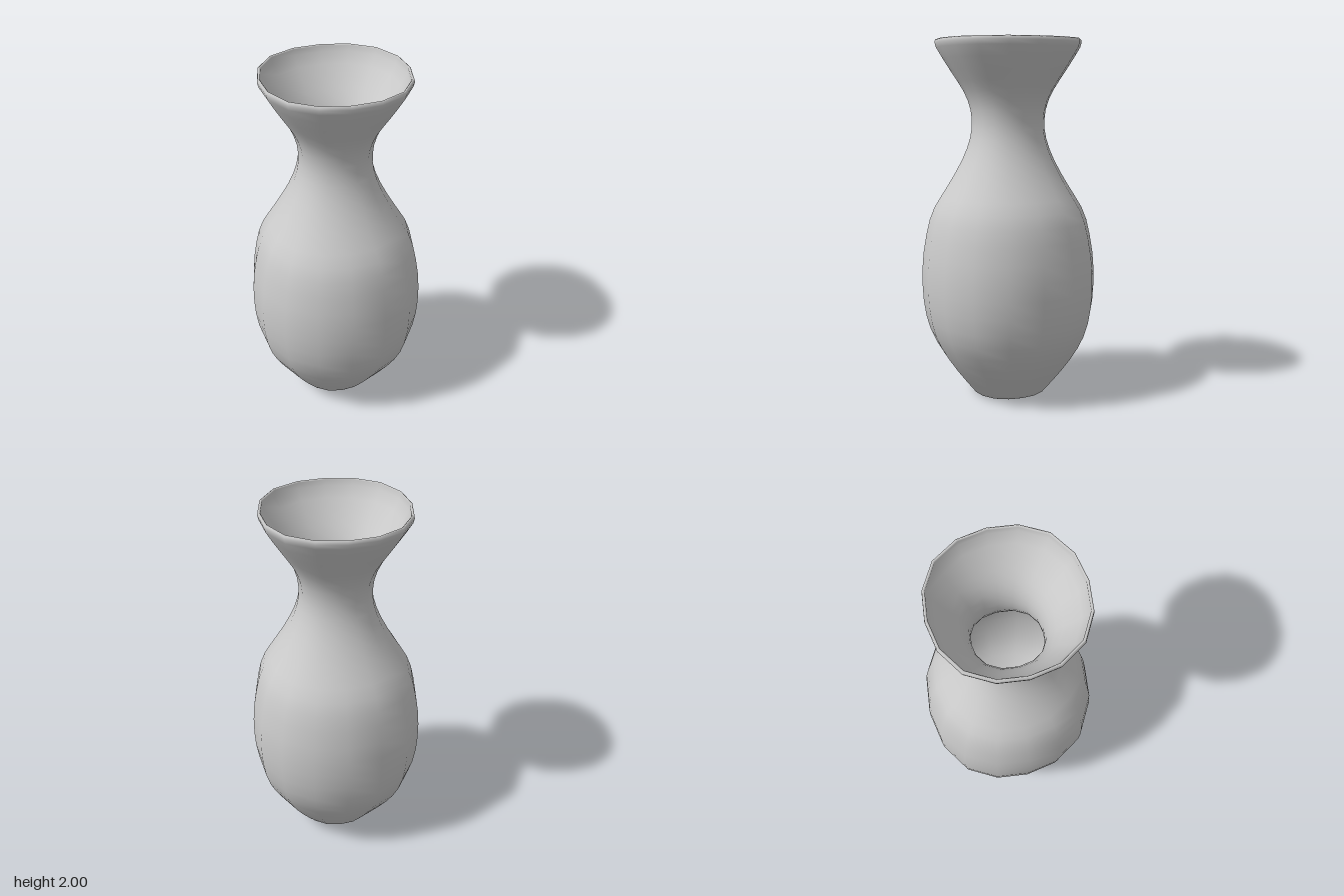
import * as THREE from 'three';
import { mergeVertices } from 'three/addons/utils/BufferGeometryUtils.js';

const SIDES = 16;
const WALL = 0.011;

// Outer wall from foot to lip: radius, height
const WALL_POINTS = [
  [0.215, 0.03], [0.28, 0.11], [0.35, 0.205], [0.41, 0.305], [0.45, 0.405],
  [0.473, 0.53], [0.479, 0.66], [0.473, 0.79], [0.45, 0.93], [0.42, 1.04],
  [0.37, 1.13], [0.315, 1.22], [0.26, 1.32], [0.222, 1.41], [0.202, 1.49],
  [0.199, 1.56], [0.21, 1.635], [0.24, 1.71], [0.285, 1.785], [0.34, 1.87], [0.39, 1.955],
].map(([r, y]) => new THREE.Vector2(r, y));

export function createModel() {
  const group = new THREE.Group();
  group.name = 'vase';

  const wall = new THREE.SplineCurve(WALL_POINTS).getPoints(28);

  // Inside of the wall: each point moved in along its normal
  const inner = wall.map((p, i) => {
    const a = wall[Math.max(i - 1, 0)];
    const b = wall[Math.min(i + 1, wall.length - 1)];
    const t = b.clone().sub(a).normalize();
    return new THREE.Vector2(p.x - t.y * WALL, p.y + t.x * WALL);
  }).reverse();

  const v = (r, y) => new THREE.Vector2(r, y);
  const profile = [
    v(0, 0.005), v(0.1, 0.003), v(0.17, 0), v(0.2, 0.011), // foot
    ...wall,
    v(0.397, 1.98), v(0.395, 1.995), v(0.388, 2), v(0.381, 1.993), // lip
    ...inner,
    v(0.18, 0.02), v(0.1, 0.016), v(0, 0.016), // inside floor
  ];

  let body = new THREE.LatheGeometry(profile, SIDES);
  body.deleteAttribute('uv');
  body.deleteAttribute('normal');

  // Rings are slightly squarish: fuller on the diagonals
  const pos = body.attributes.position;
  for (let i = 0; i < pos.count; i++) {
    const x = pos.getX(i), z = pos.getZ(i);
    const s = Math.sin(2 * Math.atan2(x, z));
    const k = 1 + 0.04 * s * s;
    pos.setXYZ(i, x * k, pos.getY(i), z * k);
  }
  body = mergeVertices(body, 1e-5);
  body.computeVertexNormals();

  const mesh = new THREE.Mesh(body, new THREE.MeshStandardMaterial({ color: 0xcccccc }));
  mesh.name = 'vaseBody';
  group.add(mesh);
  return group;
}
